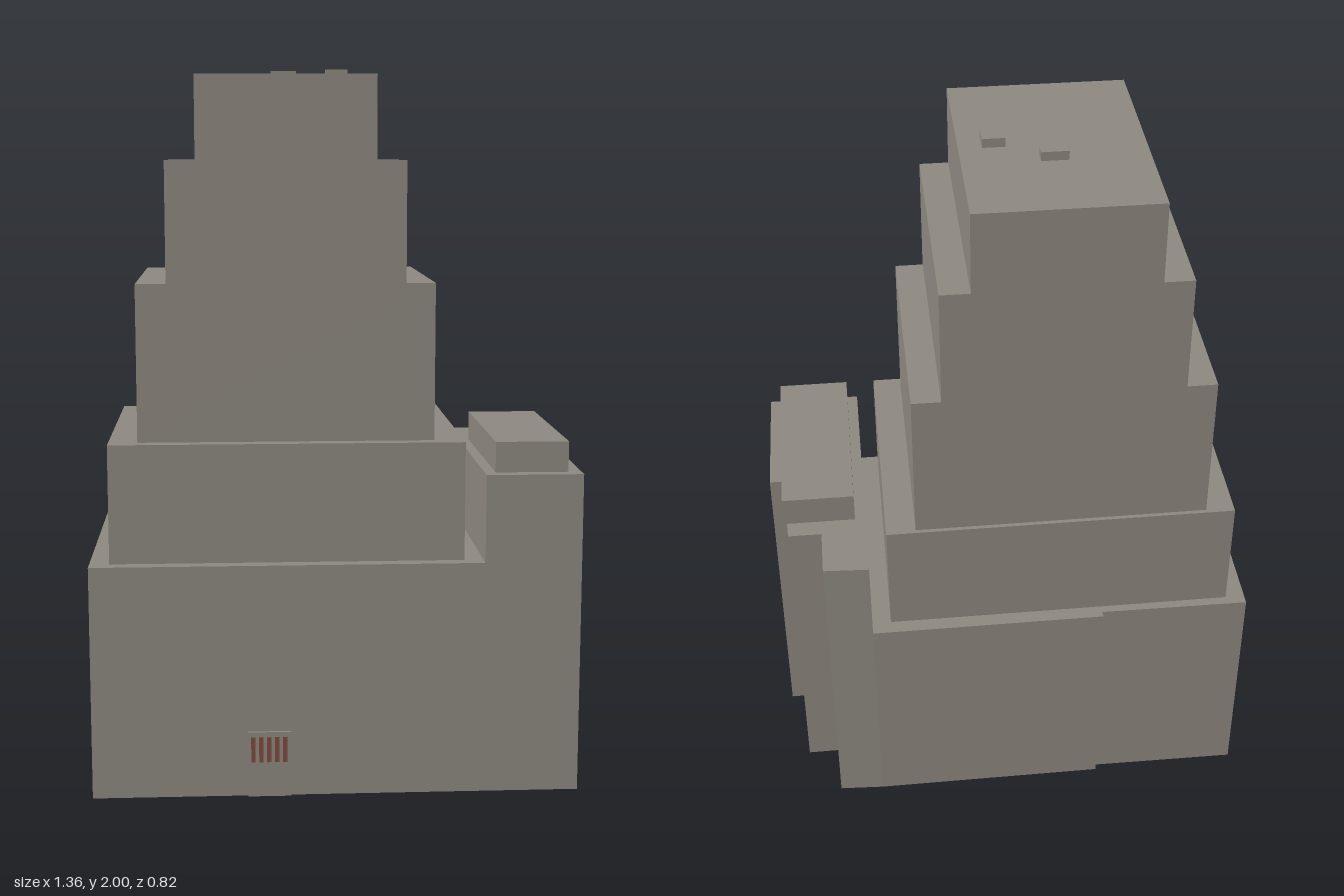
import * as THREE from 'three';
import { mergeGeometries } from 'three/addons/utils/BufferGeometryUtils.js';

// Vertical walls over an outline of [x, z] points plus a flat roof; open underneath.
// wallBase(i) gives the height where wall i starts, or null for no wall.
function blockGeometry(outline, y0, y1, wallBase = () => y0) {
  const pos = [];
  outline.forEach(([ax, az], i) => {
    const [bx, bz] = outline[(i + 1) % outline.length];
    const low = wallBase(i);
    if (low === null) return;
    pos.push(ax, low, az, bx, low, bz, bx, y1, bz);
    pos.push(ax, low, az, bx, y1, bz, ax, y1, az);
  });
  const walls = new THREE.BufferGeometry();
  walls.setAttribute('position', new THREE.Float32BufferAttribute(pos, 3));
  walls.computeVertexNormals();

  const shape = new THREE.Shape(outline.map(([x, z]) => new THREE.Vector2(x, -z)));
  const roof = new THREE.ShapeGeometry(shape).toNonIndexed();
  roof.deleteAttribute('uv');
  roof.rotateX(-Math.PI / 2).translate(0, y1, 0);
  return mergeGeometries([walls, roof]);
}

const rect = (x0, x1, z0, z1) => [[x0, z1], [x1, z1], [x1, z0], [x0, z0]];

export function createModel() {
  const stone = new THREE.MeshStandardMaterial({ color: 0x8c877e, side: THREE.DoubleSide });
  stone.name = 'stone grey';
  const rust = new THREE.MeshStandardMaterial({ color: 0x7d4a3c });
  rust.name = 'rust brown';

  const model = new THREE.Group();
  model.name = 'steppedTower';
  const add = (name, geometry, material = stone) => {
    const mesh = new THREE.Mesh(geometry, material);
    mesh.name = name;
    model.add(mesh);
    return mesh;
  };

  // Main base, open towards the side wing
  const base = [
    [-0.68, 0.4], [0.405, 0.4], [0.405, -0.412], [-0.258, -0.412],
    [-0.258, -0.394], [-0.68, -0.398],
  ];
  add('base', blockGeometry(base, 0, 0.655, (i) => (i === 1 ? null : 0)));

  // Taller side wing with a stepped outer face; its inner wall rises above the base roof
  const wing = [
    [0.405, 0.4], [0.673, 0.4], [0.677, 0], [0.638, 0], [0.626, -0.248],
    [0.532, -0.248], [0.532, -0.405], [0.405, -0.412],
  ];
  add('sideWing', blockGeometry(wing, 0, 0.9, (i) => (i === 7 ? 0.655 : 0)));
  add('wingPenthouse', blockGeometry(rect(0.435, 0.637, -0.193, 0.362), 0.9, 0.985));

  // Setback tiers: x range, z range, y range
  const tiers = [
    [-0.625, 0.352, -0.37, 0.362, 0.655, 0.985],
    [-0.545, 0.27, -0.358, 0.323, 0.985, 1.418],
    [-0.462, 0.19, -0.358, 0.323, 1.418, 1.748],
    [-0.38, 0.109, -0.358, 0.323, 1.748, 1.975],
  ];
  tiers.forEach(([x0, x1, z0, z1, y0, y1], i) =>
    add(`tier${i + 1}`, blockGeometry(rect(x0, x1, z0, z1), y0, y1)));

  // Small roof housings
  add('roofHousingBack', blockGeometry(rect(-0.168, -0.095, -0.113, -0.077), 1.975, 2));
  add('roofHousingFront', blockGeometry(rect(-0.014, 0.047, -0.027, 0.032), 1.975, 2));

  // Shallow entrance panel with five narrow door strips
  add('entrancePanel', blockGeometry(rect(-0.25, -0.13, 0.4, 0.408), 0, 0.185));
  for (let i = 0; i < 5; i++) {
    const strip = add(`doorStrip${i + 1}`, new THREE.BoxGeometry(0.012, 0.072, 0.003), rust);
    strip.position.set(-0.235 + i * 0.022, 0.135, 0.4085);
  }
  return model;
}
